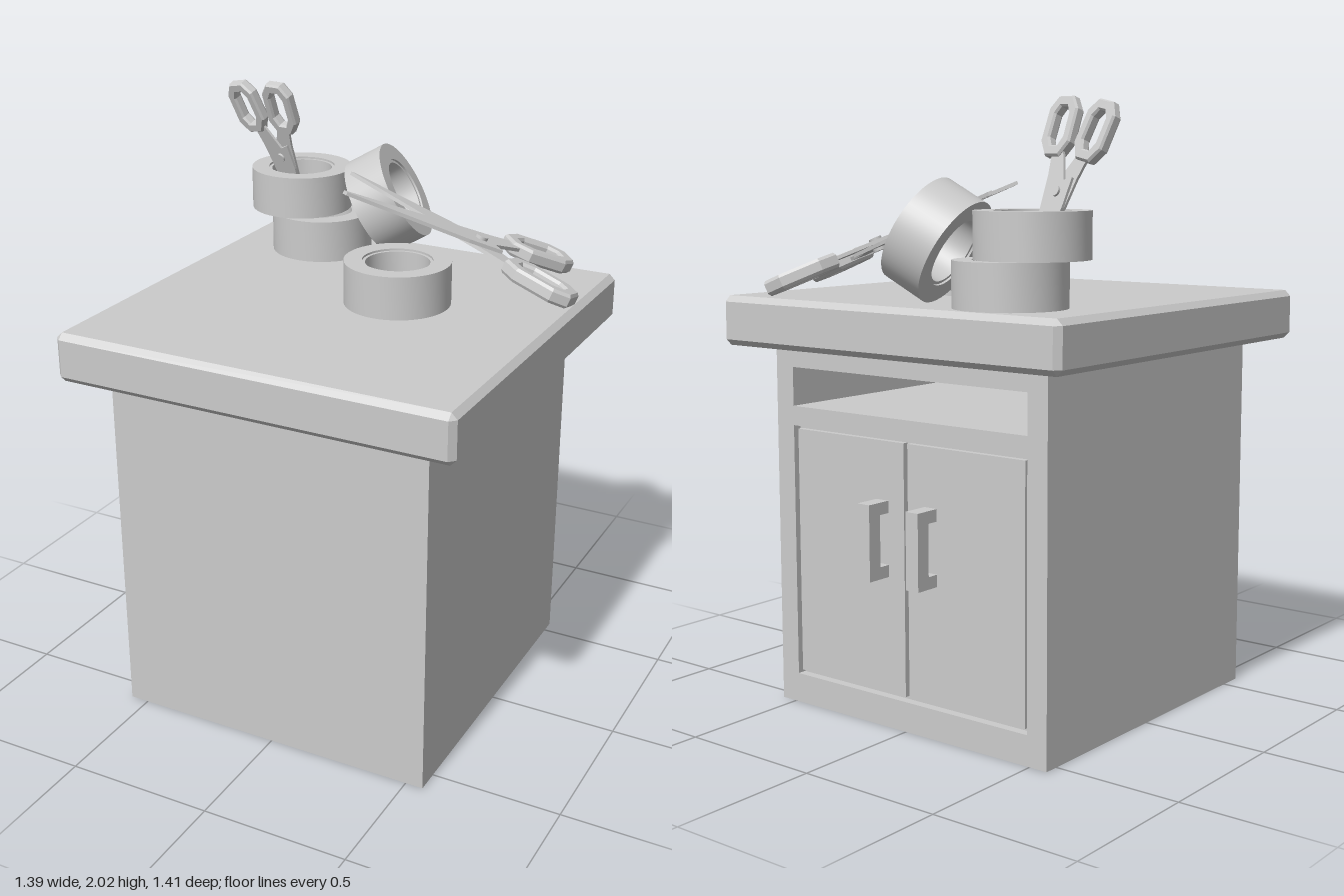
import * as THREE from 'three';
import { toCreasedNormals } from 'three/addons/utils/BufferGeometryUtils.js';
import { ConvexGeometry } from 'three/addons/geometries/ConvexGeometry.js';

const grey = new THREE.MeshStandardMaterial({ color: 0xcccccc });

function add(parent, name, geometry, x = 0, y = 0, z = 0) {
  const mesh = new THREE.Mesh(geometry, grey);
  mesh.name = name;
  mesh.position.set(x, y, z);
  parent.add(mesh);
  return mesh;
}

// Box given by its two opposite corners
function box(parent, name, [x0, y0, z0], [x1, y1, z1]) {
  return add(parent, name, new THREE.BoxGeometry(x1 - x0, y1 - y0, z1 - z0),
    (x0 + x1) / 2, (y0 + y1) / 2, (z0 + z1) / 2);
}

const polygon = (points, T = THREE.Shape) => new T(points.map(([x, y]) => new THREE.Vector2(x, y)));
const rect = (x0, y0, x1, y1) => [[x0, y0], [x1, y0], [x1, y1], [x0, y1]];

// Plate in the xy plane with cut-outs, reaching from z0 to z1
function plate(parent, name, outline, holes, z0, z1) {
  const shape = polygon(outline);
  shape.holes = holes.map((h) => polygon(h, THREE.Path));
  const geometry = new THREE.ExtrudeGeometry(shape, { depth: z1 - z0, bevelEnabled: false });
  return add(parent, name, geometry, 0, 0, z0);
}

// Box with every edge chamfered
function chamferedBox(w, h, d, c) {
  const points = [];
  for (const sx of [-1, 1]) for (const sy of [-1, 1]) for (const sz of [-1, 1]) {
    for (let axis = 0; axis < 3; axis++) {
      const p = [w / 2 - c, h / 2 - c, d / 2 - c];
      p[axis] += c;
      points.push(new THREE.Vector3(sx * p[0], sy * p[1], sz * p[2]));
    }
  }
  return new ConvexGeometry(points);
}

function createCabinet() {
  const cabinet = new THREE.Group();
  cabinet.name = 'cabinet';
  add(cabinet, 'tabletop', chamferedBox(1.38, 0.165, 1.37, 0.02), 0, 1.3025, 0.015);

  // Carcass with an open shelf under the top
  const outline = rect(-0.565, 0, 0.56, 1.22);
  const shelf = rect(-0.49, 1.02, 0.485, 1.15);
  const doorway = rect(-0.49, 0.1, 0.485, 0.955);
  plate(cabinet, 'carcass', outline, [shelf], -0.52, 0.56);
  plate(cabinet, 'rearPanel', outline, [], 0.56, 0.58);
  plate(cabinet, 'faceFrame', outline, [shelf, doorway], -0.55, -0.52);

  // Pair of doors with C-shaped handles
  for (const s of [-1, 1]) {
    const xs = [s * 0.008, s * 0.475].sort((a, b) => a - b);
    box(cabinet, 'door', [xs[0], 0.112, -0.54], [xs[1], 0.943, -0.52]);
    const handle = new THREE.Group();
    handle.name = 'doorHandle';
    const [a, b] = s > 0 ? [0.075, 0.125] : [-0.128, -0.078];
    box(handle, 'handleGrip', [a, 0.5, -0.63], [b, 0.75, -0.58]);
    box(handle, 'handlePost', [a, 0.5, -0.58], [b, 0.54, -0.53]);
    box(handle, 'handlePost', [a, 0.71, -0.58], [b, 0.75, -0.53]);
    cabinet.add(handle);
  }
  return cabinet;
}

// Roll of tape: ring with a slightly recessed core
function tapeGeometry() {
  const h = 0.0725, r = 0.178, core = 0.117, hole = 0.107, inset = 0.007;
  const profile = [[r, -h], [r, h], [core, h], [core, h - inset], [hole, h - inset],
    [hole, inset - h], [core, inset - h], [core, -h], [r, -h]];
  return toCreasedNormals(
    new THREE.LatheGeometry(profile.map(([x, y]) => new THREE.Vector2(x, y)), 48), 0.6);
}

// Scissors: pivot at the origin, tips towards +x, handles spread along y
function createScissors(name, open) {
  const scissors = new THREE.Group();
  scissors.name = name;
  const blade = [[0.51, 0], [0.06, 0.06], [-0.06, 0.075], [-0.17, 0.1], [-0.17, 0.04],
    [-0.05, -0.02], [-0.065, -0.06], [0.06, -0.06], [0.5, -0.01]];
  const ring = [[0.12, 0.035], [0.065, 0.072], [-0.07, 0.07], [-0.118, 0.035],
    [-0.118, -0.035], [-0.07, -0.07], [0.065, -0.072], [0.12, -0.035]];
  for (const s of [1, -1]) {
    const half = new THREE.Group();
    half.name = 'scissorHalf';
    half.rotation.z = -s * open;
    const mirror = (pts) => pts.map(([x, y]) => [x, s * y]);
    const z = s > 0 ? -0.012 : 0;
    plate(half, 'blade', mirror(blade), [], z, z + 0.012);
    // Finger ring with chamfered rims
    const shape = polygon(ring);
    shape.holes = [polygon(ring.map(([x, y]) => [x * 0.74, y * 0.62]), THREE.Path)];
    const geometry = new THREE.ExtrudeGeometry(shape,
      { depth: 0.03, bevelSize: 0.007, bevelThickness: 0.01, bevelSegments: 1 });
    geometry.translate(0, 0, -0.015);
    add(half, 'fingerRing', geometry, -0.262, s * 0.1, 0).rotation.z = -s * 0.1;
    scissors.add(half);
  }
  add(scissors, 'rivet', new THREE.CylinderGeometry(0.022, 0.022, 0.045, 16)).rotation.x = Math.PI / 2;
  return scissors;
}

// Place by pivot point, direction of the tips and direction of the handle spread
function place(object, pivot, tips, spread, scale) {
  const x = new THREE.Vector3(...tips).normalize();
  const z = x.clone().cross(new THREE.Vector3(...spread)).normalize();
  const y = z.clone().cross(x);
  object.quaternion.setFromRotationMatrix(new THREE.Matrix4().makeBasis(x, y, z));
  object.position.set(...pivot);
  object.scale.setScalar(scale);
  return object;
}

export function createModel() {
  const model = new THREE.Group();
  model.name = 'craftCabinet';
  model.add(createCabinet());

  // Tape rolls: one loose, two stacked, one leaning
  const tape = tapeGeometry();
  add(model, 'tapeRoll', tape, 0.14, 1.4575, -0.06);
  add(model, 'lowerTapeRoll', tape, -0.357, 1.4575, -0.46);
  add(model, 'upperTapeRoll', tape, -0.437, 1.606, -0.457);
  add(model, 'leaningTapeRoll', tape, -0.12, 1.583, -0.52).quaternion.setFromUnitVectors(
    new THREE.Vector3(0, 1, 0), new THREE.Vector3(0.84, 0.5, -0.2).normalize());

  // Open scissors resting on a roll, closed pair standing in the stack
  model.add(place(createScissors('openScissors', 0.32),
    [0.325, 1.55, -0.305], [-0.82, 0.375, 0.32], [0.137, 0.017, 0.328], 1));
  model.add(place(createScissors('standingScissors', 0),
    [-0.463, 1.73, -0.365], [0.16, -0.93, -0.32], [0.145, 0.02, 0.03], 0.76));
  return model;
}
